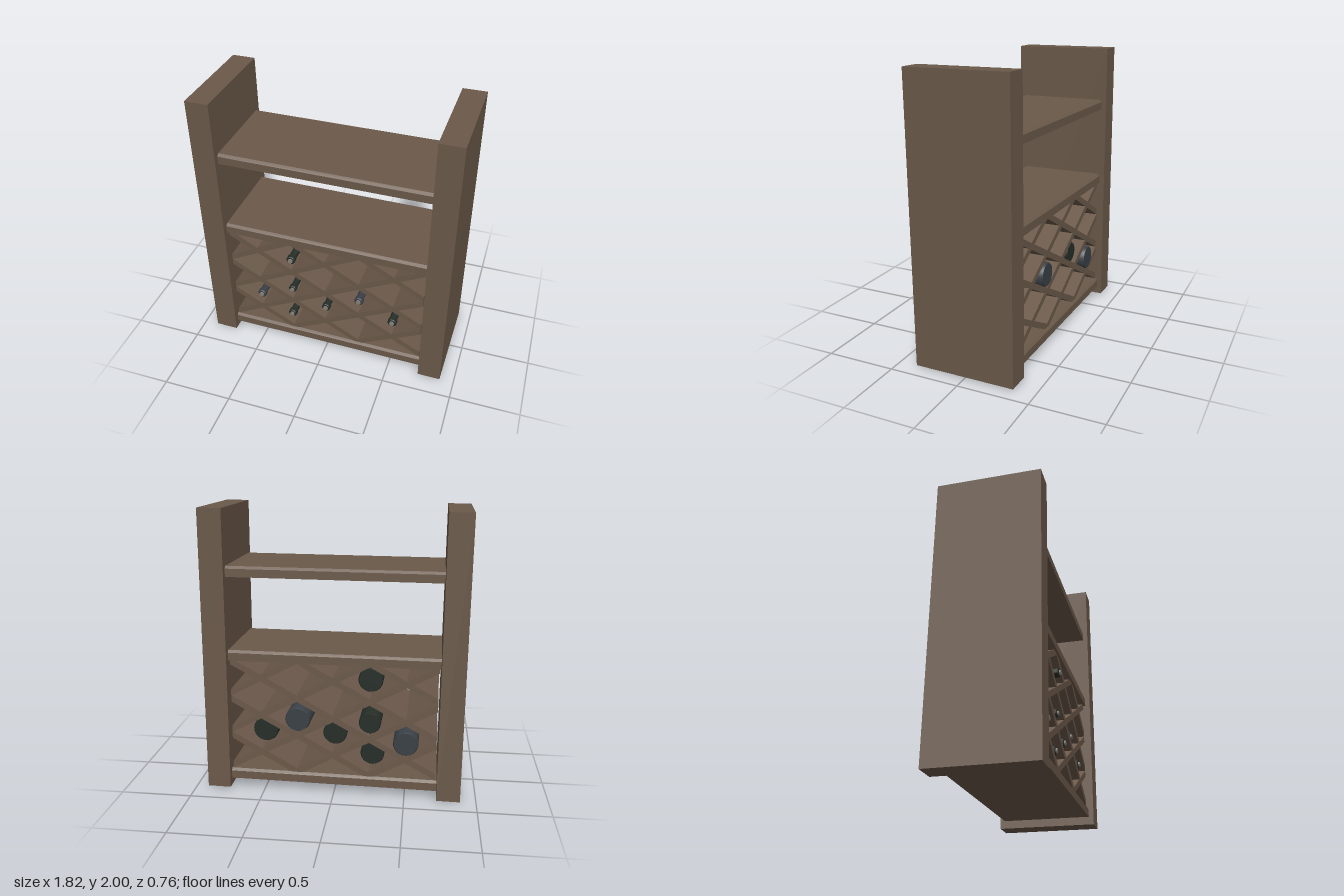
import * as THREE from 'three';
import { toCreasedNormals } from 'three/addons/utils/BufferGeometryUtils.js';

const mat = (color) => new THREE.MeshStandardMaterial({ color });
const wood = mat(0x6b594a);
const greenGlass = mat(0x262e28);
const blueGlass = mat(0x3a4046);
const corkMat = mat(0x85817a);

function add(parent, name, geometry, material, x = 0, y = 0, z = 0) {
  const mesh = new THREE.Mesh(geometry, material);
  mesh.name = name;
  mesh.position.set(x, y, z);
  parent.add(mesh);
  return mesh;
}

// Extrude a list of [x, y] corners, centred on z
function prism(corners, depth) {
  const shape = new THREE.Shape(corners.map(([x, y]) => new THREE.Vector2(x, y)));
  return new THREE.ExtrudeGeometry(shape, { depth, bevelEnabled: false }).translate(0, 0, -depth / 2);
}

// Shelf board with chamfered upper long edges
function shelfGeometry() {
  const d = 0.325, h = 0.073, c = 0.017;
  return prism([[-d, 0], [d, 0], [d, h - c], [d - c, h], [-d + c, h], [-d, h - c]], 1.464).rotateY(Math.PI / 2);
}

// Crossing full-depth boards that form diamond cells
function makeLattice() {
  const lattice = new THREE.Group();
  lattice.name = 'lattice';
  const yMid = 0.545, pitch = 0.275, slope = 0.54, xMax = 0.722, half = 0.024;
  const yMin = 0.115, yMax = 0.97;
  for (const dir of [1, -1]) {
    for (let k = -3; k <= 3; k++) {
      const base = yMid + k * pitch;
      const x0 = Math.max(-xMax, (yMin - base) / slope);
      const x1 = Math.min(xMax, (yMax - base) / slope);
      if (x1 - x0 < 0.04) continue;
      const y0 = base + slope * x0, y1 = base + slope * x1;
      const corners = [[x0, y0 - half], [x1, y1 - half], [x1, y1 + half], [x0, y0 + half]];
      add(lattice, 'latticeBoard', prism(corners.map(([x, y]) => [dir * x, y]), 0.62), wood);
    }
  }
  return lattice;
}

// Bottle lying along z, neck towards the front
function makeBottle({ x, y, r, back, front, glass }) {
  const bottle = new THREE.Group();
  bottle.name = 'bottle';
  const len = front - back;
  const profile = [
    [0, 0], [r * 0.93, 0], [r, 0.012], [r, len * 0.55], [r * 0.93, len * 0.6],
    [r * 0.72, len * 0.65], [r * 0.46, len * 0.69], [r * 0.33, len * 0.74], [r * 0.3, len - 0.045],
    [r * 0.37, len - 0.043], [r * 0.37, len - 0.015], [r * 0.31, len - 0.01], [0, len - 0.01],
  ].map(([a, b]) => new THREE.Vector2(a, b));
  const body = toCreasedNormals(new THREE.LatheGeometry(profile, 28), 0.7);
  add(bottle, 'bottleBody', body.rotateX(Math.PI / 2), glass);
  const cork = new THREE.CylinderGeometry(r * 0.2, r * 0.2, 0.02, 16).rotateX(Math.PI / 2);
  add(bottle, 'cork', cork, corkMat, 0, 0, len - 0.01);
  bottle.position.set(x, y, back);
  return bottle;
}

export function createModel() {
  const model = new THREE.Group();
  const rack = new THREE.Group();
  rack.name = 'rack';
  model.add(rack);

  // Side panels
  for (const s of [1, -1]) {
    add(rack, s > 0 ? 'leftPanel' : 'rightPanel', new THREE.BoxGeometry(0.164, 1.985, 0.72), wood, s * 0.817, 0.9925, 0);
  }

  // Shelves
  for (const [name, y] of [['bottomShelf', 0.057], ['middleShelf', 0.942], ['topShelf', 1.527]]) {
    add(rack, name, shelfGeometry(), wood, 0, y, 0);
  }

  rack.add(makeLattice());

  // Bottles
  const bottles = [
    [-0.25, 0.805, 0.087, -0.2, 0.335, greenGlass],
    [-0.255, 0.515, 0.077, -0.28, 0.32, greenGlass],
    [-0.51, 0.39, 0.088, -0.32, 0.315, blueGlass],
    [0, 0.395, 0.085, -0.2, 0.31, greenGlass],
    [0.25, 0.525, 0.088, -0.31, 0.305, blueGlass],
    [0.505, 0.395, 0.09, -0.2, 0.31, greenGlass],
    [-0.27, 0.255, 0.085, -0.2, 0.31, greenGlass],
  ];
  for (const [x, y, r, back, front, glass] of bottles) {
    rack.add(makeBottle({ x, y, r, back, front, glass }));
  }

  // The whole rack stands very slightly askew
  rack.rotation.set(0.008, -0.015, 0.005);
  rack.position.set(0.005, 0.0075, -0.008);
  return model;
}
